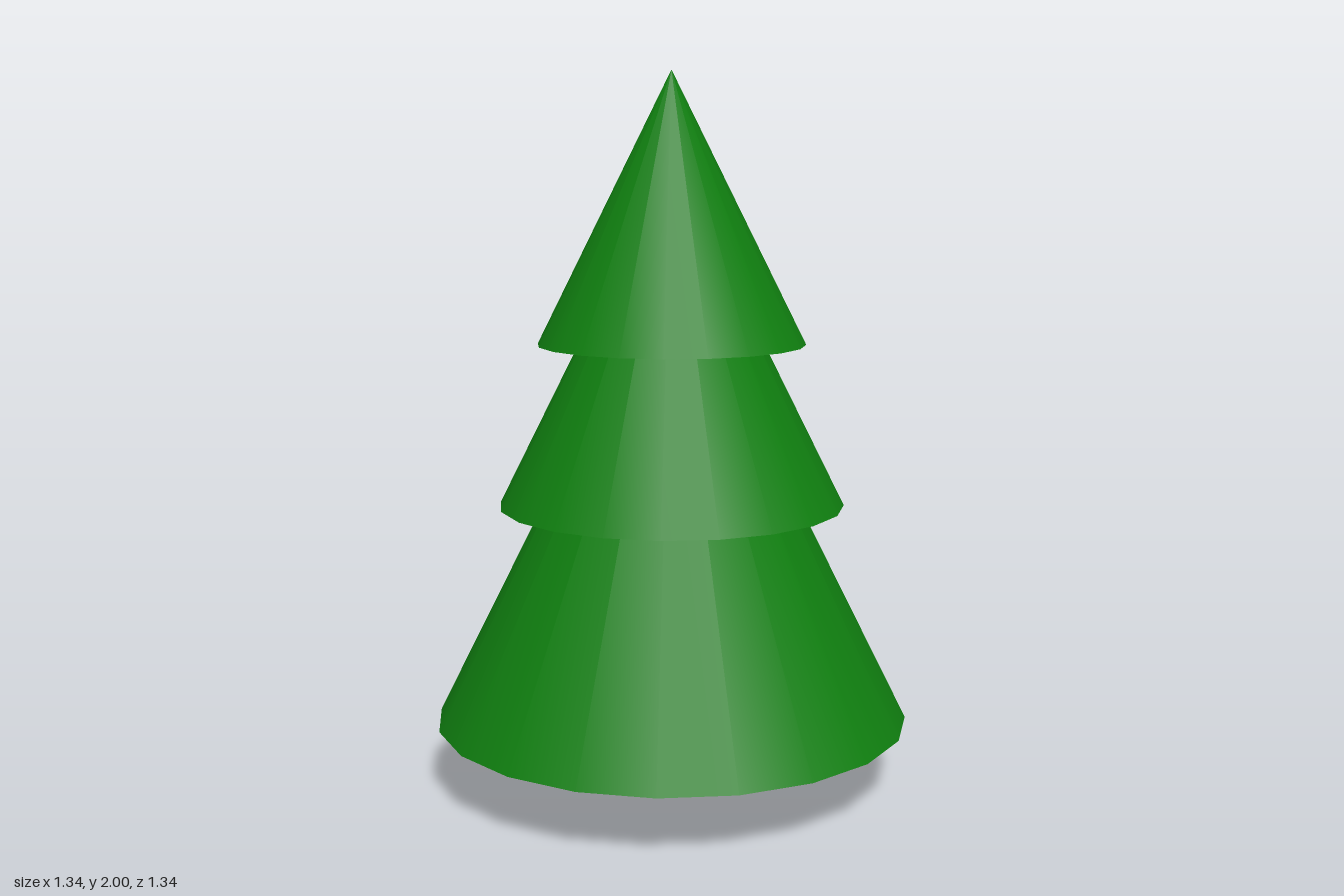
import * as THREE from 'three';

const SIDES = 20;

export function createModel() {
  const tree = new THREE.Group();
  tree.name = 'tree';
  const green = new THREE.MeshStandardMaterial({ color: 0x108010 });
  const brown = new THREE.MeshStandardMaterial({ color: 0x5a5532 });

  // Trunk, its top hidden inside the lowest tier
  const trunkHeight = 0.36;
  const trunk = new THREE.Mesh(new THREE.CylinderGeometry(0.097, 0.097, trunkHeight, SIDES), brown);
  trunk.name = 'trunk';
  trunk.position.y = trunkHeight / 2;
  tree.add(trunk);

  // Foliage: nested closed cones of equal slope, each twice as tall as its radius
  const tiers = [
    { name: 'lowerFoliage', radius: 0.67, base: 0.18 },
    { name: 'middleFoliage', radius: 0.486, base: 0.797 },
    { name: 'upperFoliage', radius: 0.375, base: 1.25 },
  ];
  for (const { name, radius, base } of tiers) {
    const height = radius * 2;
    const tier = new THREE.Mesh(new THREE.ConeGeometry(radius, height, SIDES), green);
    tier.name = name;
    tier.position.y = base + height / 2;
    tree.add(tier);
  }
  return tree;
}
